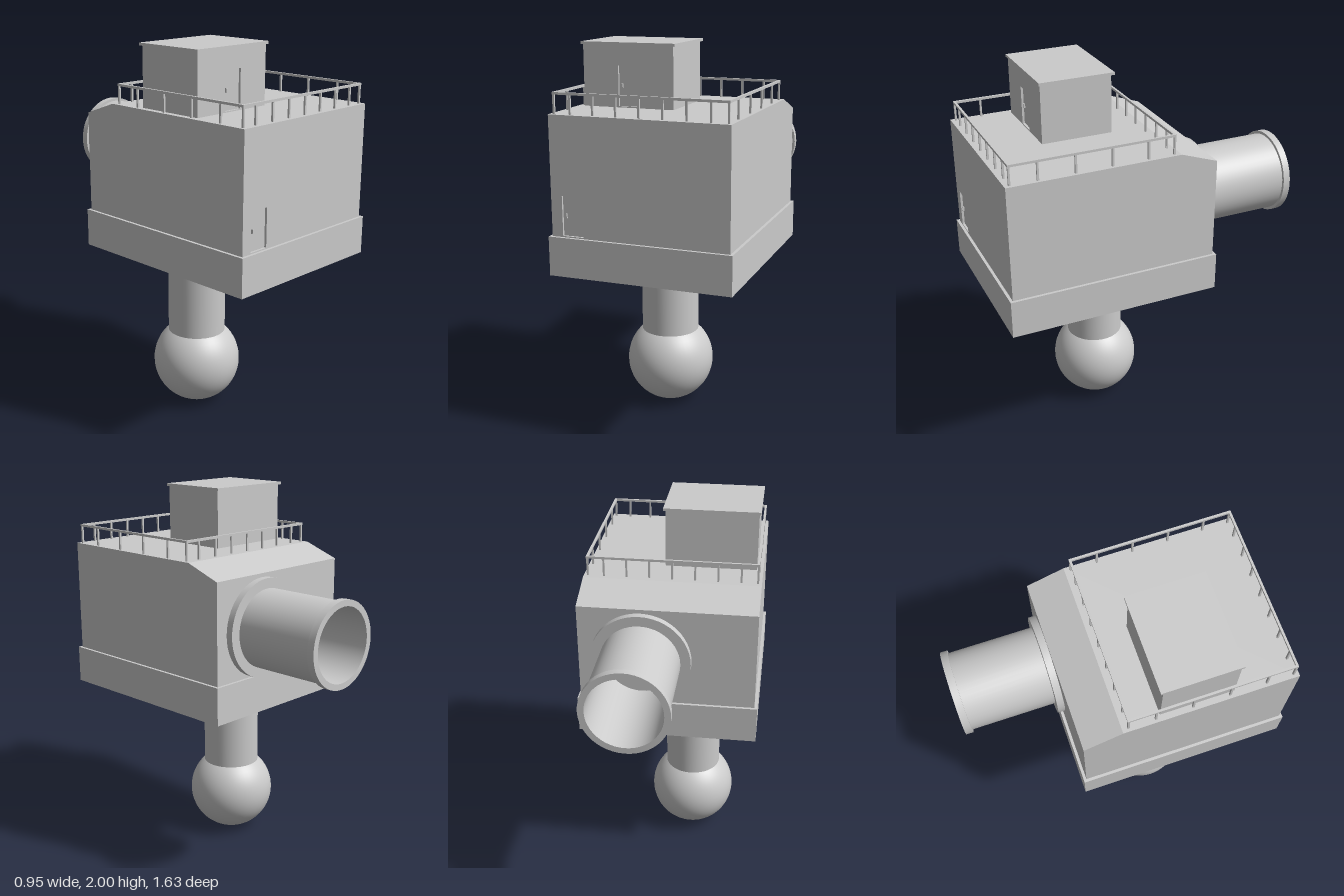
import * as THREE from 'three';
import { mergeGeometries, toCreasedNormals } from 'three/addons/utils/BufferGeometryUtils.js';

const grey = new THREE.MeshStandardMaterial({ color: 0xcccccc, side: THREE.DoubleSide });

function add(parent, name, geometry, x = 0, y = 0, z = 0) {
  const mesh = new THREE.Mesh(geometry, grey);
  mesh.name = name;
  mesh.position.set(x, y, z);
  parent.add(mesh);
  return mesh;
}

const box = (w, h, d, x, y, z) => new THREE.BoxGeometry(w, h, d).translate(x, y, z);

// Flat four-cornered sheet, corners counter-clockwise from outside
function quad(a, b, c, d) {
  const g = new THREE.BufferGeometry();
  g.setAttribute('position', new THREE.Float32BufferAttribute([a, b, c, a, c, d].flat(), 3));
  g.computeVertexNormals();
  return g;
}

// Sheets joining a stack of rectangles [halfWidth, halfDepth, y], centred on z = cz
function rectangleLoft(rings, cz) {
  const corner = ([w, d, y], i) => {
    const [sx, sz] = [[-1, 1], [1, 1], [1, -1], [-1, -1]][i % 4];
    return [sx * w, y, cz + sz * d];
  };
  const sheets = [];
  for (let r = 0; r + 1 < rings.length; r++) {
    for (let i = 0; i < 4; i++) {
      sheets.push(quad(corner(rings[r], i), corner(rings[r], i + 1),
        corner(rings[r + 1], i + 1), corner(rings[r + 1], i)));
    }
  }
  return mergeGeometries(sheets);
}

// Front wall facing +z, with a shallow recessed door and a handle
function doorWall(parent, name, x0, x1, y0, y1, z, doorX) {
  const w = 0.11, h = 0.2, inset = 0.012, sill = y0 + 0.006;
  const rect = (shape, l, b, r, t) =>
    shape.moveTo(l, b).lineTo(r, b).lineTo(r, t).lineTo(l, t).lineTo(l, b);
  const wall = rect(new THREE.Shape(), x0, y0, x1, y1);
  wall.holes.push(rect(new THREE.Path(), doorX, sill, doorX + w, sill + h));
  add(parent, name + 'FrontWall', new THREE.ShapeGeometry(wall), 0, 0, z);

  const l = doorX, r = doorX + w, t = sill + h, back = z - inset;
  add(parent, name + 'DoorFrame', mergeGeometries([
    quad([l, sill, z], [l, sill, back], [l, t, back], [l, t, z]),
    quad([r, sill, back], [r, sill, z], [r, t, z], [r, t, back]),
    quad([l, sill, z], [r, sill, z], [r, sill, back], [l, sill, back]),
    quad([l, t, back], [r, t, back], [r, t, z], [l, t, z]),
  ]));
  add(parent, name + 'Door', quad([l, sill, back], [r, sill, back], [r, t, back], [l, t, back]));
  add(parent, name + 'DoorHandle', box(0.008, 0.022, 0.01, l + 0.018, sill + h * 0.5, back + 0.005));
}

export function createModel() {
  const model = new THREE.Group();
  model.name = 'towerHouse';

  // Ball and column
  const cx = -0.098, cz = 0.148;
  add(model, 'ball', new THREE.SphereGeometry(0.236, 48, 32), cx, 0.237, cz);
  add(model, 'column', new THREE.CylinderGeometry(0.155, 0.155, 0.55, 48), cx, 0.67, cz);

  // Skirt, open underneath, with a narrow ledge up to the walls
  const W = 0.458, D = 0.548, Z = 0.25;
  const front = Z + D, rear = Z - D;
  add(model, 'skirt', rectangleLoft([[0.473, 0.563, 0.88], [0.473, 0.563, 1.08], [W, D, 1.08]], Z));

  // Hollow main body with a sloped rear roof edge
  const body = new THREE.Group();
  body.name = 'body';
  model.add(body);
  const base = 1.08, top = 1.68, eave = 1.61, bend = -0.1;
  doorWall(body, 'body', -W, W, base, top, front, -0.4);
  for (const s of [-1, 1]) {
    const side = new THREE.Shape([[front, base], [front, top], [bend, top], [rear, eave], [rear, base]]
      .map(([z, y]) => new THREE.Vector2(-s * z, y)));
    add(body, s > 0 ? 'leftWall' : 'rightWall',
      new THREE.ShapeGeometry(side).rotateY(s * Math.PI / 2), s * W);
  }
  add(body, 'roof', quad([-W, top, front], [W, top, front], [W, top, bend], [-W, top, bend]));
  add(body, 'roofSlope', quad([-W, top, bend], [W, top, bend], [W, eave, rear], [-W, eave, rear]));
  add(body, 'backWall', quad([W, base, rear], [-W, base, rear], [-W, eave, rear], [W, eave, rear]));

  // Flanged open pipe on the back
  const pipe = [[0.19, 0], [0.26, 0], [0.26, 0.038], [0.207, 0.038], [0.207, 0.485],
    [0.222, 0.485], [0.222, 0.523], [0.19, 0.523], [0.19, 0]].map(p => new THREE.Vector2(...p));
  add(model, 'backPipe',
    toCreasedNormals(new THREE.LatheGeometry(pipe, 48), 0.6).rotateX(-Math.PI / 2), 0.132, 1.33, -0.297);

  // Roof cabin
  const cabin = new THREE.Group();
  cabin.name = 'cabin';
  model.add(cabin);
  const x0 = -0.425, x1 = 0.055, z0 = 0.095, z1 = 0.472, y1 = 1.986;
  doorWall(cabin, 'cabin', x0, x1, top, y1, z1, -0.237);
  add(cabin, 'cabinWalls', mergeGeometries([
    quad([x1, top, z1], [x1, top, z0], [x1, y1, z0], [x1, y1, z1]),
    quad([x1, top, z0], [x0, top, z0], [x0, y1, z0], [x1, y1, z0]),
    quad([x0, top, z0], [x0, top, z1], [x0, y1, z1], [x0, y1, z0]),
  ]));
  add(cabin, 'cabinRoof', box(0.5, 0.014, 0.4, -0.184, 1.993, 0.28));

  // Railing around the roof
  const railing = new THREE.Group();
  railing.name = 'railing';
  model.add(railing);
  const rx = 0.438, rz0 = -0.068, rz1 = 0.772, t = 0.012, railY = 1.778;
  const midZ = (rz0 + rz1) / 2, postH = railY - top;
  const post = (x, z) => box(0.01, postH, 0.01, x, top + postH / 2, z);
  const rails = [], posts = [];
  for (const z of [rz0, rz1]) {
    rails.push(box(2 * rx + t, t, t, 0, railY, z));
    for (const s of [-1, 1]) posts.push(post(s * rx, z));
    for (let i = -3; i <= 3; i++) posts.push(post(i * 0.118, z));
  }
  for (const x of [-rx, rx]) {
    rails.push(box(t, t, rz1 - rz0 - t, x, railY, midZ));
    for (let i = -1.5; i <= 1.5; i++) posts.push(post(x, midZ + i * 0.188));
  }
  add(railing, 'handrails', mergeGeometries(rails));
  add(railing, 'railPosts', mergeGeometries(posts));

  return model;
}
